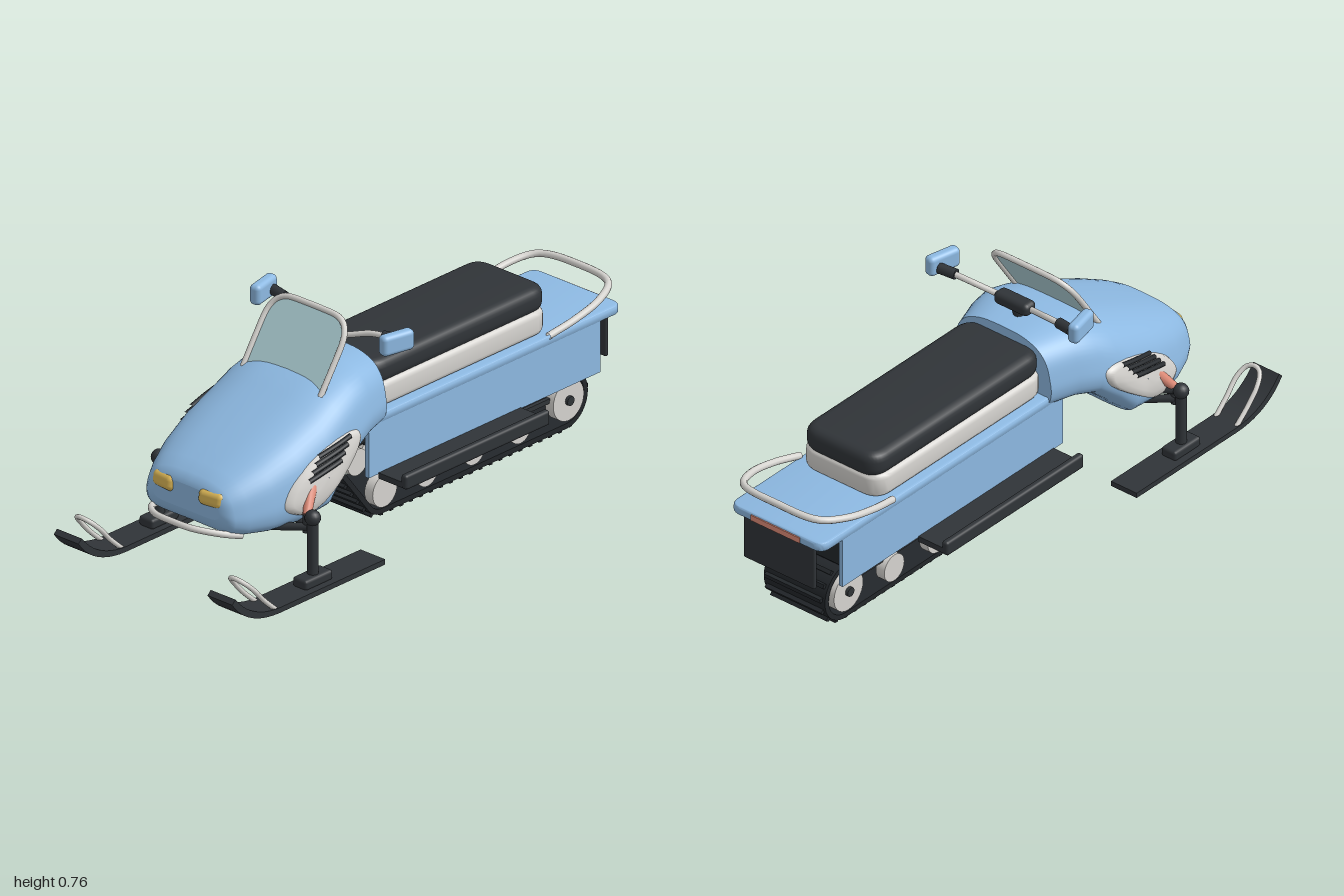
import * as THREE from 'three';
import { toCreasedNormals } from 'three/addons/utils/BufferGeometryUtils.js';
import { RoundedBoxGeometry } from 'three/addons/geometries/RoundedBoxGeometry.js';

const V = (x, y, z) => new THREE.Vector3(x, y, z);
const V2 = (x, y) => new THREE.Vector2(x, y);
const mat = (name, color, side = THREE.FrontSide) => {
  const m = new THREE.MeshStandardMaterial({ color, side });
  m.name = name;
  return m;
};

// Skin through closed rings of points, with optional flat end caps
function loft(rows, { flip = false, caps = false } = {}) {
  const n = rows[0].length, pos = [], idx = [];
  const tri = (a, b, c) => (flip ? idx.push(a, c, b) : idx.push(a, b, c));
  rows.forEach(r => r.forEach(p => pos.push(p.x, p.y, p.z)));
  for (let i = 0; i < rows.length - 1; i++) for (let j = 0; j < n; j++) {
    const a = i * n + j, b = i * n + (j + 1) % n;
    tri(a, a + n, b);
    tri(b, a + n, b + n);
  }
  if (caps) [rows[0], rows[rows.length - 1]].forEach((r, e) => {
    const base = pos.length / 3;
    const mid = r.reduce((s, p) => s.add(p), V(0, 0, 0)).divideScalar(n);
    [...r, mid].forEach(p => pos.push(p.x, p.y, p.z));
    for (let j = 0; j < n; j++) {
      const a = base + j, b = base + (j + 1) % n;
      e ? tri(base + n, b, a) : tri(base + n, a, b);
    }
  });
  const g = new THREE.BufferGeometry();
  g.setAttribute('position', new THREE.Float32BufferAttribute(pos, 3));
  g.setIndex(idx);
  g.computeVertexNormals();
  return g;
}

// Side profile (z, y) extruded across x
function across(shape, width) {
  const g = new THREE.ExtrudeGeometry(shape, { depth: width, bevelEnabled: false, curveSegments: 10 });
  return toCreasedNormals(g.translate(0, 0, -width / 2).rotateY(-Math.PI / 2), 0.6);
}

// Slab with rounded plan corners and rounded edges
function slab(w, z0, z1, y0, y1, r, b) {
  const s = new THREE.Shape(), x = w / 2;
  s.moveTo(-x + r, z0).lineTo(x - r, z0).quadraticCurveTo(x, z0, x, z0 + r);
  s.lineTo(x, z1 - r).quadraticCurveTo(x, z1, x - r, z1).lineTo(-x + r, z1);
  s.quadraticCurveTo(-x, z1, -x, z1 - r).lineTo(-x, z0 + r).quadraticCurveTo(-x, z0, -x + r, z0);
  const g = new THREE.ExtrudeGeometry(s, { depth: y1 - y0 - 2 * b, bevelThickness: b, bevelSize: b, bevelOffset: -b, bevelSegments: 4, curveSegments: 8 });
  return toCreasedNormals(g.rotateX(Math.PI / 2).translate(0, y1 - b, 0), 0.7);
}

const tube = (pts, r) => new THREE.TubeGeometry(new THREE.CatmullRomCurve3(pts), 48, r, 10);

// Cowl: stations [z, bottom, top, half width] and a normalised half section
const stations = [
  [0.1, 0.36, 0.59, 0.2], [0.2, 0.36, 0.6, 0.235], [0.28, 0.34, 0.592, 0.26], [0.36, 0.27, 0.57, 0.273],
  [0.43, 0.2, 0.54, 0.28], [0.55, 0.188, 0.487, 0.275], [0.66, 0.188, 0.435, 0.25], [0.74, 0.195, 0.395, 0.215],
  [0.78, 0.208, 0.37, 0.19], [0.797, 0.23, 0.352, 0.17], [0.803, 0.25, 0.335, 0.14]];
const half = new THREE.SplineCurve([V2(0, 1), V2(0.4, 0.98), V2(0.72, 0.88), V2(0.9, 0.7), V2(0.98, 0.45),
  V2(1, 0.25), V2(0.93, 0.08), V2(0.7, 0), V2(0, 0)]).getPoints(32);

function cowlX(z, y) {
  let i = 0;
  while (i < stations.length - 2 && stations[i + 1][0] < z) i++;
  const k = (z - stations[i][0]) / (stations[i + 1][0] - stations[i][0]);
  const [yb, yt, w] = [1, 2, 3].map(c => THREE.MathUtils.lerp(stations[i][c], stations[i + 1][c], k));
  const t = (y - yb) / (yt - yb);
  const j = Math.max(1, half.findIndex(p => p.y <= t));
  const a = half[j - 1], b = half[j];
  return w * THREE.MathUtils.lerp(a.x, b.x, THREE.MathUtils.clamp((a.y - t) / (a.y - b.y || 1), 0, 1));
}

export function createModel() {
  const model = new THREE.Group();
  const blue = mat('blue paint', 0x8db9e2), light = mat('light grey', 0xd6d4d0, THREE.DoubleSide);
  const dark = mat('charcoal', 0x303438), black = mat('black rubber', 0x22262a);
  const gold = mat('amber lamp', 0xdab556), salmon = mat('salmon', 0xe08c78);
  const glass = mat('pale glass', 0xb0d2d8, THREE.DoubleSide);
  const add = (name, geo, m, x = 0, y = 0, z = 0, parent = model) => {
    const o = new THREE.Mesh(geo, m);
    o.name = name;
    o.position.set(x, y, z);
    parent.add(o);
    return o;
  };
  const box = (name, m, w, h, d, x, y, z) => add(name, new THREE.BoxGeometry(w, h, d), m, x, y, z);
  const rod = (name, m, a, b, r0, r1 = r0) => {
    const d = b.clone().sub(a), mid = a.clone().add(b).multiplyScalar(0.5);
    const o = add(name, new THREE.CylinderGeometry(r1, r0, d.length(), 14), m, mid.x, mid.y, mid.z);
    o.quaternion.setFromUnitVectors(V(0, 1, 0), d.normalize());
    return o;
  };

  // Cowl
  const ring = [...half, ...half.slice(1, -1).reverse().map(p => V2(-p.x, p.y))];
  add('cowl', loft(stations.map(([z, b, t, w]) => ring.map(p => V(p.x * w, b + p.y * (t - b), z))), { caps: true }), blue);

  // Windshield and its frame
  const screen = new THREE.Group();
  screen.name = 'windshield';
  screen.position.set(0, 0.555, 0.355);
  screen.rotation.x = -0.594;
  model.add(screen);
  const arch = new THREE.Shape();
  arch.moveTo(-0.165, -0.02).lineTo(-0.165, 0.15).quadraticCurveTo(-0.163, 0.235, -0.085, 0.238);
  arch.lineTo(0.085, 0.238).quadraticCurveTo(0.163, 0.235, 0.165, 0.15).lineTo(0.165, -0.02);
  add('windshieldFrame', tube(arch.getPoints(8).map(p => V(p.x, p.y, 0)), 0.01), light, 0, 0, 0, screen);
  add('windshieldGlass', new THREE.ShapeGeometry(arch, 8), glass, 0, 0, 0, screen);

  // Steering
  rod('steeringStem', dark, V(0, 0.57, 0.19), V(0, 0.65, 0.16), 0.018);
  add('handlebarPad', new RoundedBoxGeometry(0.14, 0.045, 0.055, 3, 0.018), dark, 0, 0.65, 0.16);
  add('handlebar', tube([V(-0.24, 0.682, 0.12), V(-0.16, 0.675, 0.13), V(-0.06, 0.65, 0.16), V(0.06, 0.65, 0.16),
    V(0.16, 0.675, 0.13), V(0.24, 0.682, 0.12)], 0.01), light);

  // Bumper
  add('frontBumper', tube([V(-0.18, 0.195, 0.74), V(-0.15, 0.212, 0.8), V(-0.08, 0.228, 0.857), V(0, 0.23, 0.865),
    V(0.08, 0.228, 0.857), V(0.15, 0.212, 0.8), V(0.18, 0.195, 0.74)], 0.011), light);

  // Tunnel, seat and tail
  add('tunnelDeck', slab(0.38, -0.99, 0.17, 0.37, 0.402, 0.04, 0.008), blue);
  box('tunnelLiner', black, 0.34, 0.13, 0.93, 0, 0.31, -0.39);
  add('seatBase', slab(0.325, -0.69, 0.12, 0.4, 0.485, 0.07, 0.02), light);
  add('seatCushion', slab(0.31, -0.695, 0.12, 0.472, 0.558, 0.07, 0.03), dark);
  add('mudFlap', new RoundedBoxGeometry(0.29, 0.16, 0.014, 2, 0.006), dark, 0, 0.29, -0.968);
  box('tailLight', salmon, 0.2, 0.02, 0.012, 0, 0.386, -0.988);
  add('rearRail', tube([V(-0.19, 0.405, -0.65), V(-0.203, 0.43, -0.76), V(-0.195, 0.455, -0.88), V(-0.15, 0.472, -0.965),
    V(0, 0.478, -0.985), V(0.15, 0.472, -0.965), V(0.195, 0.455, -0.88), V(0.203, 0.43, -0.76), V(0.19, 0.405, -0.65)], 0.012), light);

  // Track belt: outline wrapped around three wheels, as the support of circles [z, y, radius]
  const wrap = inset => {
    const pts = [];
    for (let i = 0; i < 72; i++) {
      const c = Math.cos(i / 36 * Math.PI), s = Math.sin(i / 36 * Math.PI);
      const [z, y, r] = [[0.165, 0.235, 0.07], [0.04, 0.092, 0.08], [-0.8, 0.112, 0.1]]
        .reduce((m, w) => (w[0] * c + w[1] * s + w[2] > m[0] * c + m[1] * s + m[2] ? w : m));
      pts.push(V2(z + (r - inset) * c, y + (r - inset) * s));
    }
    return pts;
  };
  const belt = new THREE.Shape(wrap(0));
  belt.closePath();
  const lugs = belt.getSpacedPoints(56);
  belt.holes.push(new THREE.Path(wrap(0.018)));
  add('trackBelt', across(belt, 0.25), black);
  const lugGeo = new THREE.BoxGeometry(0.23, 0.024, 0.014);
  for (let i = 0; i < 56; i++) {
    const a = lugs[i], b = lugs[(i + 1) % 56];
    add('trackLug', lugGeo, black, 0, a.y, a.x).rotation.x = -Math.atan2(b.y - a.y, b.x - a.x);
  }

  const skiShape = new THREE.Shape();
  skiShape.moveTo(0.3, 0.008).lineTo(0.78, 0.008).quadraticCurveTo(0.93, 0.01, 1, 0.11).lineTo(0.985, 0.124);
  skiShape.quadraticCurveTo(0.91, 0.03, 0.78, 0.026).lineTo(0.3, 0.026).closePath();
  const skiGeo = across(skiShape, 0.105);
  const outline = new THREE.CatmullRomCurve3([V(0, 0.27, 0.63), V(0, 0.32, 0.61), V(0, 0.39, 0.52), V(0, 0.442, 0.34),
    V(0, 0.43, 0.29), V(0, 0.385, 0.3), V(0, 0.28, 0.43), V(0, 0.23, 0.52), V(0, 0.24, 0.59)], true).getPoints(40).slice(0, 40);

  for (const s of [1, -1]) {
    // Side panel that follows the cowl, with four vent slats
    const onCowl = (z, y, off) => V(s * (cowlX(z, y) + off), y, z);
    const rows = [[1, -0.006], [0.95, 0.01], [0.85, 0.015], [0.6, 0.016], [0.3, 0.016], [0.01, 0.016]].map(([k, off]) =>
      outline.map(p => onCowl(0.46 + (p.z - 0.46) * k, 0.335 + (p.y - 0.335) * k, off)));
    add('sidePanel', loft(rows, { flip: s < 0 }), light);
    for (let i = 0; i < 4; i++) {
      const z = 0.42 + i * 0.018, y = 0.422 - i * 0.021;
      add('ventSlat', tube([-0.07, -0.035, 0, 0.035, 0.07].map(d => onCowl(z + d, y - d * 0.2, 0.017)), 0.008), black);
    }

    // Headlight
    const lamp = add('headlight', new RoundedBoxGeometry(0.096, 0.054, 0.05, 4, 0.02), gold, s * 0.1, 0.315, 0.785);
    lamp.rotation.set(-0.15, s * 0.15, 0);

    // Grip and hand guard
    rod('grip', dark, V(s * 0.21, 0.68, 0.125), V(s * 0.27, 0.683, 0.115), 0.018);
    add('handGuard', new RoundedBoxGeometry(0.04, 0.07, 0.12, 4, 0.016), blue, s * 0.283, 0.69, 0.145).rotation.y = -0.22 * s;

    // Tunnel wall and footboard with raised lip
    box('tunnelWall', blue, 0.015, 0.19, 1.06, s * 0.181, 0.293, -0.36);
    box('footboard', dark, 0.12, 0.02, 0.65, s * 0.248, 0.192, -0.2);
    add('footboardLip', new RoundedBoxGeometry(0.025, 0.05, 0.66, 3, 0.01), dark, s * 0.298, 0.205, -0.2);

    // Slide rail, struts and wheels
    box('slideRail', dark, 0.015, 0.016, 0.84, s * 0.112, 0.13, -0.38);
    for (const z of [0.03, -0.35]) box('strut', dark, 0.016, 0.12, 0.022, s * 0.118, 0.18, z);
    for (const [z, y, r] of [[0.165, 0.235, 0.045], [0.04, 0.095, 0.056], [-0.155, 0.09, 0.048], [-0.37, 0.09, 0.048],
      [-0.58, 0.09, 0.048], [-0.8, 0.115, 0.07]])
      add('trackWheel', new THREE.CylinderGeometry(r, r, 0.035, 28), light, s * 0.119, y, z).rotation.z = Math.PI / 2;
    add('rearHub', new THREE.CylinderGeometry(0.016, 0.016, 0.02, 12), dark, s * 0.137, 0.115, -0.8).rotation.z = Math.PI / 2;

    // Ski with loop handle
    const x = s * 0.327;
    add('ski', skiGeo, dark, x);
    add('skiLoop', tube([V(-0.042, 0.02, 0.79), V(-0.043, 0.07, 0.845), V(-0.042, 0.122, 0.892), V(-0.026, 0.152, 0.922),
      V(0, 0.16, 0.93), V(0.026, 0.152, 0.922), V(0.042, 0.122, 0.892), V(0.043, 0.07, 0.845), V(0.042, 0.02, 0.79)], 0.008), light, x);
    add('skiMount', new RoundedBoxGeometry(0.06, 0.035, 0.125, 2, 0.01), dark, x, 0.04, 0.575);

    // Suspension
    rod('skiLeg', dark, V(x, 0.03, 0.575), V(x, 0.25, 0.575), 0.018);
    add('ballJoint', new THREE.SphereGeometry(0.026, 16, 12), dark, x, 0.247, 0.575);
    rod('upperArm', dark, V(x, 0.25, 0.575), V(s * 0.23, 0.235, 0.53), 0.013);
    rod('lowerArm', dark, V(s * 0.305, 0.21, 0.575), V(s * 0.17, 0.185, 0.5), 0.013);
    rod('lowerArm', dark, V(s * 0.305, 0.21, 0.575), V(s * 0.17, 0.195, 0.65), 0.013);
    rod('armLink', dark, V(s * 0.3, 0.19, 0.575), V(s * 0.3, 0.25, 0.575), 0.012);
    rod('shockAbsorber', salmon, V(s * 0.303, 0.25, 0.575), V(s * 0.255, 0.345, 0.5), 0.014, 0.024);
  }
  return model;
}
